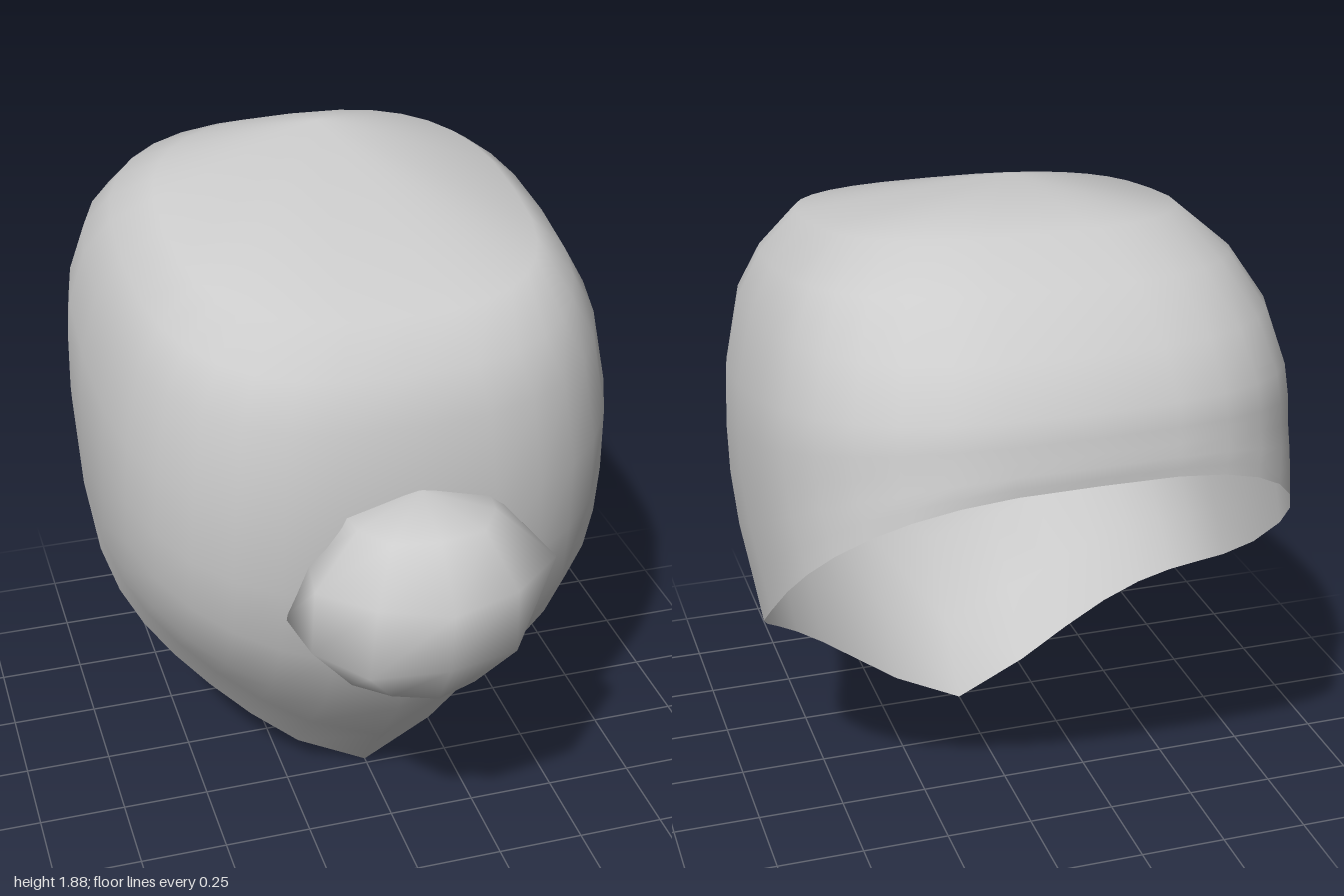
import * as THREE from 'three';

const SIDES = 32;

// Rings of the shell from shoulder to rim:
// [front z, front y, back z, back y, half width, lift of the sides]
const RINGS = [
  [0.53, 1.64, -0.55, 1.80, 0.50, 0],
  [0.62, 1.52, -0.75, 1.72, 0.61, 0],
  [0.68, 1.40, -0.90, 1.60, 0.68, 0],
  [0.71, 1.15, -0.97, 1.48, 0.725, 0],
  [0.69, 0.90, -0.985, 1.42, 0.735, 0.1],
  [0.66, 0.66, -0.99, 1.38, 0.735, 0.3],
  [0.55, 0.42, -1.0, 1.35, 0.73, 0.5],
  [0.38, 0.20, -1.0, 1.32, 0.72, 0.8],
  [0.23, 0.00, -1.0, 1.30, 0.71, 1.0],
];

const signedPow = (v, p) => Math.sign(v) * Math.pow(Math.abs(v), p);

// Open shell: squarish tilted rings fanning out from a single peak
function shellGeometry() {
  const pos = [0, 1.88, -0.27];
  const index = [];
  for (const [zf, yf, zb, yb, w, lift] of RINGS) {
    for (let j = 0; j < SIDES; j++) {
      const a = (j / SIDES) * Math.PI * 2;
      const s = signedPow(Math.sin(a), 0.75);
      const u = signedPow(Math.cos(a), 0.75);
      const bulge = lift * 0.1 * Math.exp(1.8 * u) * Math.sqrt(Math.max(0, 1 - u * u));
      pos.push(
        w * s,
        (yf + yb) / 2 + ((yf - yb) / 2) * u + bulge,
        (zf + zb) / 2 + ((zf - zb) / 2) * u
      );
    }
  }
  const id = (i, j) => 1 + i * SIDES + (j % SIDES);
  for (let j = 0; j < SIDES; j++) {
    index.push(0, id(0, j), id(0, j + 1));
    for (let i = 0; i < RINGS.length - 1; i++) {
      index.push(id(i, j), id(i + 1, j), id(i, j + 1));
      index.push(id(i + 1, j), id(i + 1, j + 1), id(i, j + 1));
    }
  }
  const geo = new THREE.BufferGeometry();
  geo.setAttribute('position', new THREE.Float32BufferAttribute(pos, 3));
  geo.setIndex(index);
  geo.computeVertexNormals();
  return geo;
}

// Lumpy ball: five bands, with ripples twisting from band to band
function noseGeometry() {
  const bands = 5, n = 10;
  const pos = [0, 0.295, 0];
  const index = [];
  for (let i = 1; i < bands; i++) {
    const t = (i / bands) * Math.PI;
    for (let j = 0; j < n; j++) {
      const a = (j / n) * Math.PI * 2;
      const ripple = 1 + 0.06 * Math.sin(a) * (i === 2 ? 1 : i === 3 ? -1 : 0)
        + 0.04 * Math.cos(5 * a + i * Math.PI);
      const r = 0.29 * Math.sin(t) * ripple;
      pos.push(1.2 * r * Math.sin(a), 0.295 * Math.cos(t), r * Math.cos(a));
    }
  }
  pos.push(0, -0.295, 0);
  const last = pos.length / 3 - 1;
  const id = (i, j) => 1 + i * n + (j % n);
  for (let j = 0; j < n; j++) {
    index.push(0, id(0, j), id(0, j + 1));
    for (let i = 0; i < bands - 2; i++) {
      index.push(id(i, j), id(i + 1, j), id(i, j + 1));
      index.push(id(i + 1, j), id(i + 1, j + 1), id(i, j + 1));
    }
    index.push(id(bands - 2, j), last, id(bands - 2, j + 1));
  }
  const geo = new THREE.BufferGeometry();
  geo.setAttribute('position', new THREE.Float32BufferAttribute(pos, 3));
  geo.setIndex(index);
  geo.computeVertexNormals();
  return geo;
}

export function createModel() {
  const group = new THREE.Group();
  group.name = 'mask';

  const grey = new THREE.MeshStandardMaterial({ color: 0xcccccc, side: THREE.DoubleSide });
  grey.name = 'light grey';

  const shell = new THREE.Mesh(shellGeometry(), grey);
  shell.name = 'shell';
  group.add(shell);

  const nose = new THREE.Mesh(noseGeometry(), grey);
  nose.name = 'nose';
  nose.position.set(0, 0.935, 0.71);
  group.add(nose);

  return group;
}
